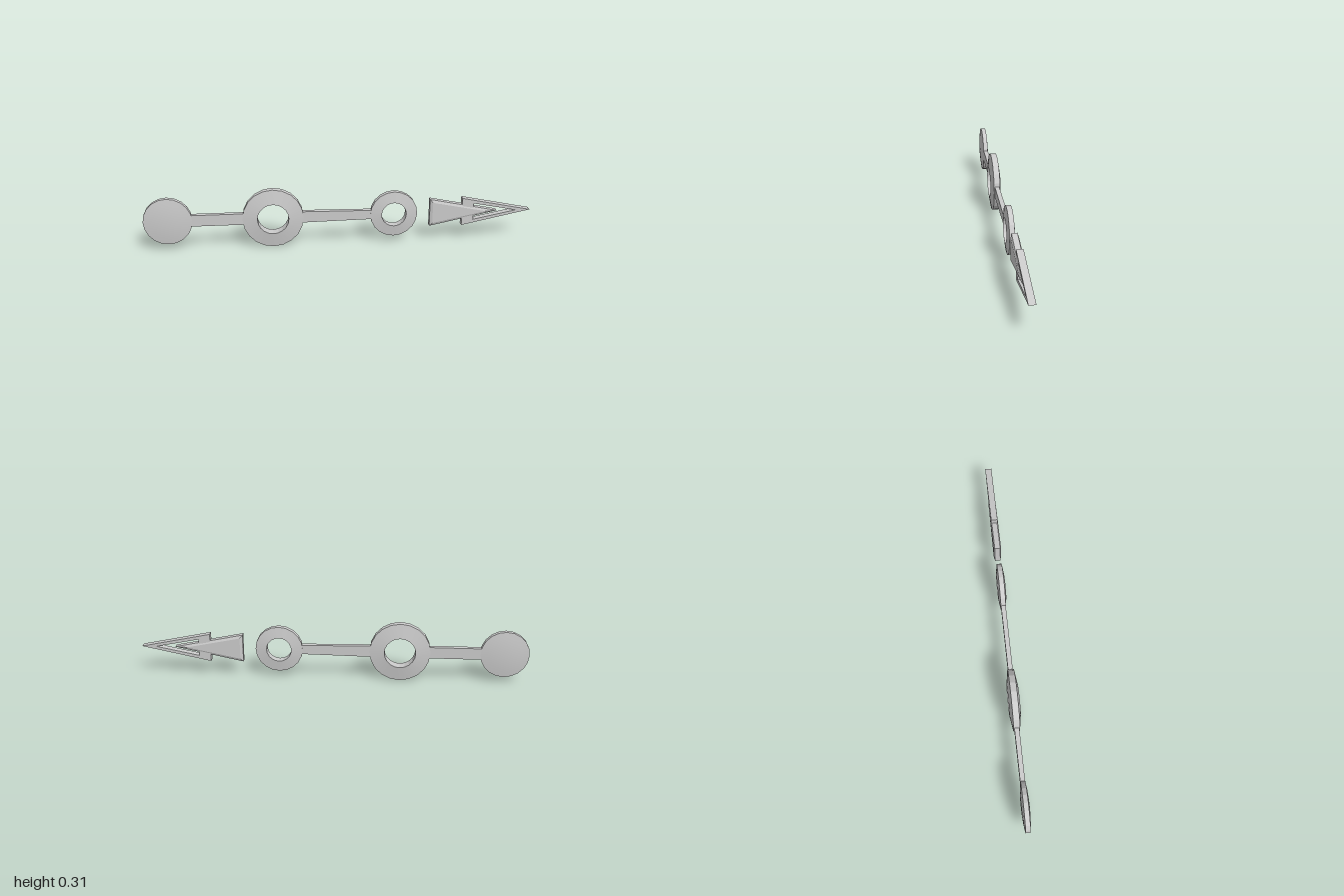
import * as THREE from 'three';
import { toCreasedNormals } from 'three/addons/utils/BufferGeometryUtils.js';
import { ConvexGeometry } from 'three/addons/geometries/ConvexGeometry.js';

const MID = 0.158; // height of the hand's long axis

export function createModel() {
  const group = new THREE.Group();
  const material = new THREE.MeshStandardMaterial({ color: 0xcccccc });

  const add = (name, geometry, x = 0, z = 0) => {
    const mesh = new THREE.Mesh(toCreasedNormals(geometry, 0.3), material);
    mesh.name = name;
    mesh.position.set(x, MID, z);
    group.add(mesh);
  };

  // Turned pieces: profile of [radius, depth], spun round the z axis
  const turned = (name, x, profile) => {
    const points = profile.map(([r, d]) => new THREE.Vector2(r, d));
    add(name, new THREE.LatheGeometry(points, 20).rotateX(Math.PI / 2), x);
  };

  // Ring that is thickest at its hole and thins towards the rim
  const ring = (name, x, inner, outer, thick, thin) =>
    turned(name, x, [[inner, -thick], [outer, -thin], [outer, thin], [inner, thick], [inner, -thick]]);

  // Flat plate centred on z = 0, with an optional hole
  const plate = (name, outline, depth, hole) => {
    const toPoints = (list) => list.map(([x, y]) => new THREE.Vector2(x, y));
    const shape = new THREE.Shape(toPoints(outline));
    if (hole) shape.holes.push(new THREE.Path(toPoints(hole)));
    add(name, new THREE.ExtrudeGeometry(shape, { depth, bevelEnabled: false }), 0, -depth / 2);
  };

  // Tapered bar between two round pieces
  const bar = (name, x0, x1, h0, h1) =>
    plate(name, [[x0, -h0], [x1, -h1], [x1, h1], [x0, h0]], 0.024);

  // Domed counterweight disc
  turned('counterweightDisc', -0.876, [
    [0, -0.021], [0.045, -0.02], [0.085, -0.017], [0.124, -0.012],
    [0.124, 0.012], [0.085, 0.017], [0.045, 0.02], [0, 0.021],
  ]);
  bar('tailBar', -0.764, -0.485, 0.03, 0.03);
  ring('hubRing', -0.342, 0.08, 0.156, 0.028, 0.016);
  bar('mainBar', -0.2, 0.175, 0.03, 0.024);
  ring('smallRing', 0.282, 0.064, 0.122, 0.021, 0.013);

  // Solid arrow with a slightly raised, inset face on both sides
  const corners = [];
  for (const side of [-1, 1]) {
    for (const [x, y, z] of [
      [0.47, 0.074, 0.014], [0.47, -0.074, 0.014], [0.825, 0, 0.014],
      [0.485, 0.057, 0.02], [0.485, -0.057, 0.02], [0.765, 0, 0.02],
    ]) corners.push(new THREE.Vector3(x, y, side * z));
  }
  add('solidArrow', new ConvexGeometry(corners));

  // Open arrow tip
  plate('openArrow', [[0.64, -0.075], [1, 0], [0.64, 0.075]], 0.034,
    [[0.7, -0.045], [0.7, 0.045], [0.925, 0]]);

  return group;
}
